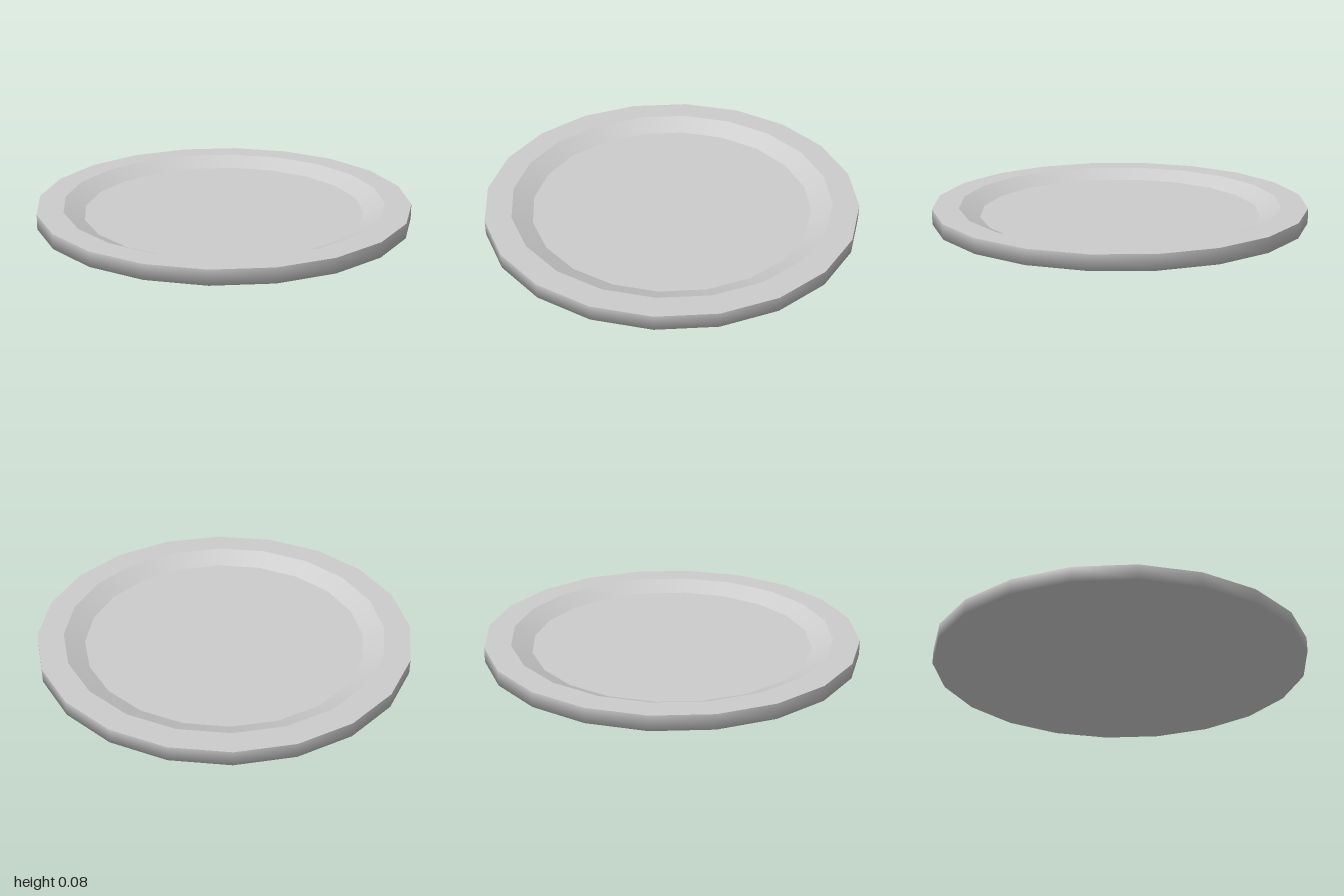
import * as THREE from 'three';

const SIDES = 20;
const HEIGHT = 0.08, FLOOR = 0.03;
const R_OUTER = 1, R_LIP = 0.86, R_FLOOR = 0.75;

export function createModel() {
  const plate = new THREE.Group();
  plate.name = 'plate';
  const material = new THREE.MeshStandardMaterial({ color: 0xcccccc });

  // Each part is its own turned profile, so edges between parts stay sharp
  const turn = (name, ...profile) => {
    const points = profile.map(([r, y]) => new THREE.Vector2(r, y));
    const mesh = new THREE.Mesh(new THREE.LatheGeometry(points, SIDES), material);
    mesh.name = name;
    plate.add(mesh);
  };

  // Underside and outer wall, shaded smoothly across their shared edge
  turn('base', [0, 0], [R_OUTER, 0], [R_OUTER, HEIGHT]);
  // Flat rim on top
  turn('rim', [R_OUTER, HEIGHT], [R_LIP, HEIGHT]);
  // Slope from the rim down to the floor
  turn('innerSlope', [R_LIP, HEIGHT], [R_FLOOR, FLOOR]);
  // Sunken flat floor
  turn('floor', [R_FLOOR, FLOOR], [0, FLOOR]);

  return plate;
}
